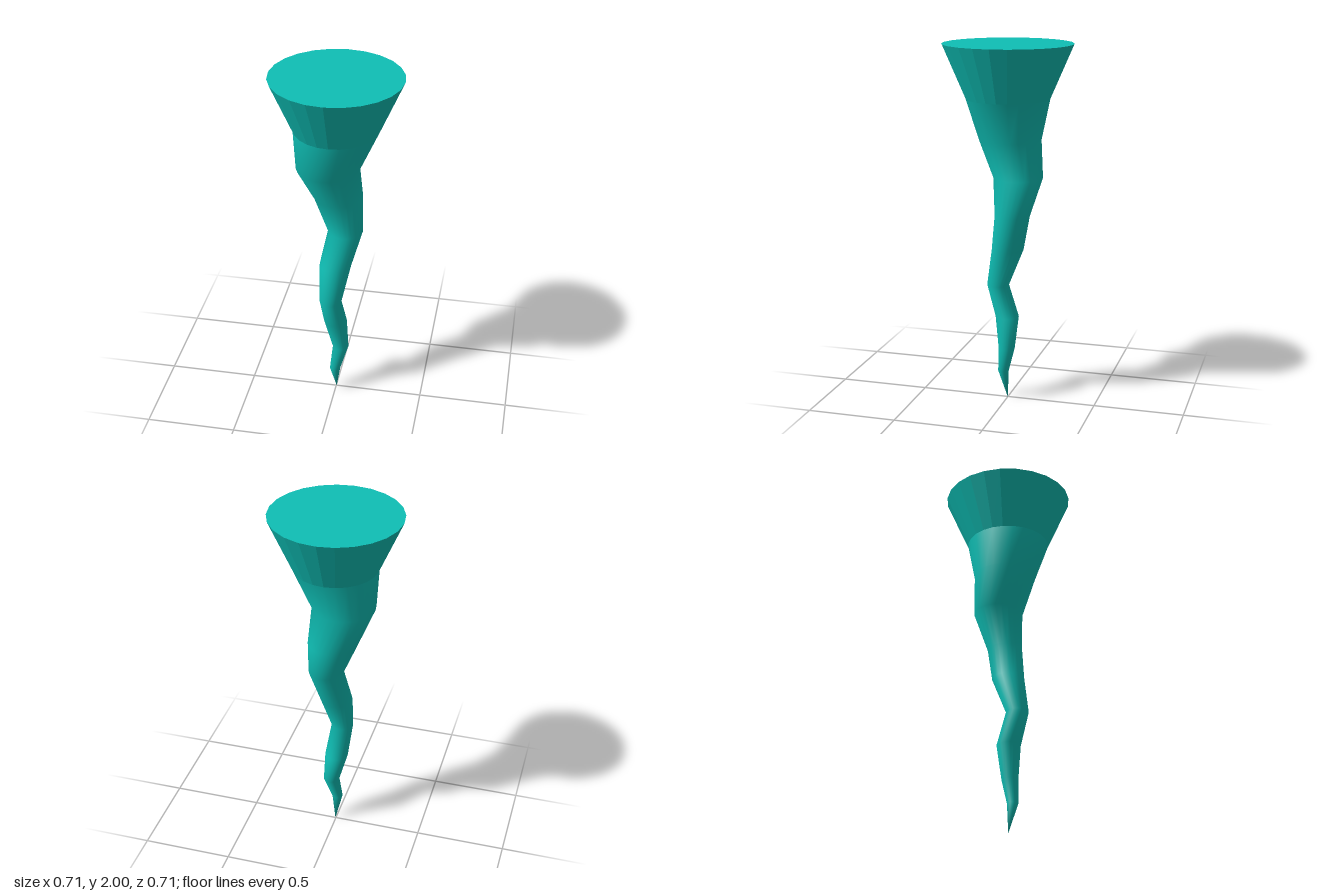
import * as THREE from 'three';

const SIDES = 24;

// Rings of the twisting body, top to bottom: [y, centre x, centre z, radius]
const RINGS = [
  [1.705, 0, 0, 0.228],
  [1.475, -0.045, 0, 0.171],
  [1.275, 0, -0.058, 0.135],
  [1.07, 0.045, -0.037, 0.096],
  [0.865, -0.004, 0.003, 0.088],
  [0.655, -0.021, 0.063, 0.061],
  [0.48, -0.003, 0.005, 0.065],
  [0.3, 0.026, 0, 0.045],
  [0.155, -0.002, 0.027, 0.03],
];

// Lofts the rings into one smooth skin that closes in a point
function taperedLoft(rings, tip) {
  const positions = [];
  const index = [];
  for (const [y, cx, cz, r] of rings) {
    for (let i = 0; i < SIDES; i++) {
      const a = (i / SIDES) * Math.PI * 2;
      positions.push(cx + r * Math.sin(a), y, cz + r * Math.cos(a));
    }
  }
  const tipIndex = rings.length * SIDES;
  positions.push(...tip);
  for (let k = 0; k < rings.length; k++) {
    for (let i = 0; i < SIDES; i++) {
      const a = k * SIDES + i;
      const b = k * SIDES + ((i + 1) % SIDES);
      if (k === rings.length - 1) index.push(a, tipIndex, b);
      else index.push(a, a + SIDES, b, b, a + SIDES, b + SIDES);
    }
  }
  const geometry = new THREE.BufferGeometry();
  geometry.setAttribute('position', new THREE.Float32BufferAttribute(positions, 3));
  geometry.setIndex(index);
  geometry.computeVertexNormals();
  return geometry;
}

export function createModel() {
  const group = new THREE.Group();
  group.name = 'twistedSpike';
  const color = 0x0fbfb5;

  // Faceted flaring top with a flat cap
  const [neckY, , , neckRadius] = RINGS[0];
  const height = 2 - neckY;
  const flare = new THREE.Mesh(
    new THREE.CylinderGeometry(0.355, neckRadius, height, SIDES, 1, true),
    new THREE.MeshStandardMaterial({ color, flatShading: true })
  );
  flare.name = 'flaredTop';
  flare.position.y = neckY + height / 2;
  group.add(flare);

  const cap = new THREE.Mesh(
    new THREE.CircleGeometry(0.355, SIDES),
    new THREE.MeshStandardMaterial({ color })
  );
  cap.name = 'topCap';
  cap.rotation.x = -Math.PI / 2;
  cap.position.y = 2;
  group.add(cap);

  // Crooked body winding down to the tip
  const body = new THREE.Mesh(
    taperedLoft(RINGS, [0.003, 0, 0]),
    new THREE.MeshStandardMaterial({ color })
  );
  body.name = 'twistedBody';
  group.add(body);

  return group;
}
